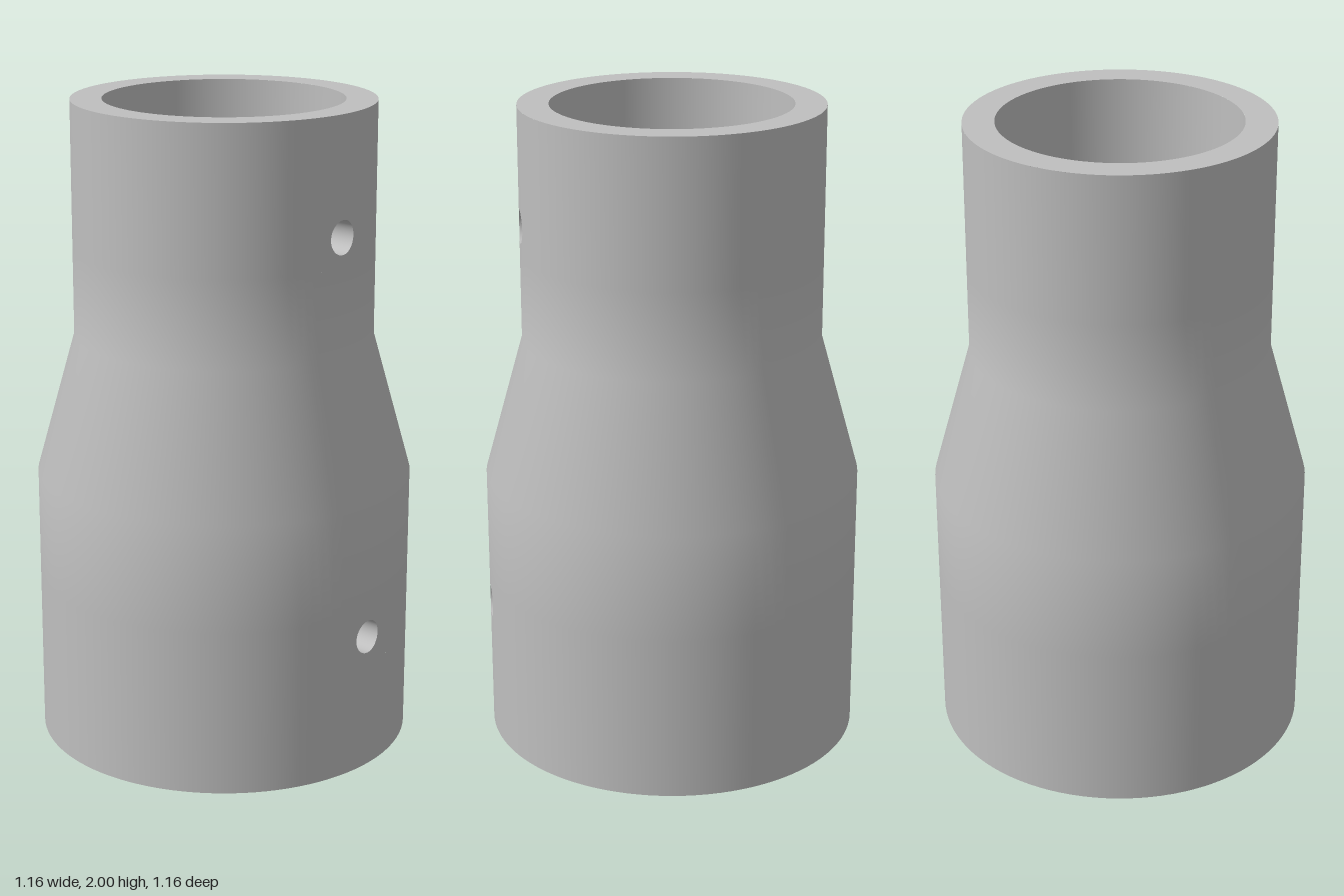
import * as THREE from 'three';

const HOLE_R = 0.052;      // radius of the drilled holes
const PATCH_A = 0.2;       // half angle of the wall strip that carries the holes
const PATCH_H = 0.09;      // half height of the wall patch around a hole
const HOLES = [
  { name: 'lowerHole', y: 0.425, outer: 0.58, inner: 0.488 },
  { name: 'upperHole', y: 1.64, outer: 0.46, inner: 0.365 },
];
const [LOW, HIGH] = HOLES;
const NECK = [0.85, 1.28]; // start and end of the taper

// Grid surface closed in u; fn returns [position, normal]
function loopGrid(fn, nu, nv, flip = false) {
  const pos = [], nor = [], idx = [];
  for (let i = 0; i <= nu; i++) {
    for (let j = 0; j <= nv; j++) {
      const [p, n] = fn((i / nu) * Math.PI * 2, j / nv);
      pos.push(...p);
      nor.push(...n);
      if (i === nu || j === nv) continue;
      const a = i * (nv + 1) + j, b = a + 1, c = a + nv + 1, d = c + 1;
      if (flip) idx.push(a, c, b, b, c, d);
      else idx.push(a, b, c, b, d, c);
    }
  }
  const g = new THREE.BufferGeometry();
  g.setAttribute('position', new THREE.Float32BufferAttribute(pos, 3));
  g.setAttribute('normal', new THREE.Float32BufferAttribute(nor, 3));
  g.setIndex(idx);
  return g;
}

// Curved wall patch with a round hole drilled along x
function wallPatch(r, y, side) {
  return loopGrid((t, v) => {
    const c = Math.cos(t), s = Math.sin(t), m = Math.max(Math.abs(c), Math.abs(s));
    const a = THREE.MathUtils.lerp(Math.asin((HOLE_R * c) / r), (PATCH_A * c) / m, v);
    const h = THREE.MathUtils.lerp(HOLE_R * s, (PATCH_H * s) / m, v);
    return [
      [r * Math.cos(a), y + h, -r * Math.sin(a)],
      [side * Math.cos(a), 0, -side * Math.sin(a)],
    ];
  }, 48, 4, side < 0);
}

// Bore of a hole from the inner wall to the outer wall
function holeBore({ y, outer, inner }) {
  return loopGrid((t, v) => {
    const c = Math.cos(t), s = Math.sin(t), r = v ? outer : inner;
    const z = -HOLE_R * c;
    return [[Math.sqrt(r * r - z * z), y + HOLE_R * s, z], [0, -s, c]];
  }, 48, 1);
}

export function createModel() {
  const group = new THREE.Group();
  const grey = new THREE.MeshStandardMaterial({ color: 0xbfbfbf });
  grey.name = 'grey';

  const add = (name, geometry) => {
    const mesh = new THREE.Mesh(geometry, grey);
    mesh.name = name;
    group.add(mesh);
  };
  const lathe = (pts, segs, start, length) =>
    new THREE.LatheGeometry(pts.map(p => new THREE.Vector2(...p)), segs, start, length);

  // Wall profile, bottom to top, with points at the patch borders
  const profile = key => [
    [LOW[key], 0], [LOW[key], LOW.y - PATCH_H], [LOW[key], LOW.y + PATCH_H],
    [LOW[key], NECK[0]], [HIGH[key], NECK[1]],
    [HIGH[key], HIGH.y - PATCH_H], [HIGH[key], HIGH.y + PATCH_H], [HIGH[key], 2],
  ];

  // Inner and outer walls: a wide arc plus the strip between the holes
  const stripStart = Math.PI / 2 - PATCH_A;
  for (const [key, side] of [['outer', 1], ['inner', -1]]) {
    const pts = profile(key);
    const wall = (p, segs, start, length) =>
      lathe(side > 0 ? p : [...p].reverse(), segs, start, length);
    add(key + 'Wall', wall(pts, 96, Math.PI / 2 + PATCH_A, Math.PI * 2 - PATCH_A * 2));
    for (const [from, to] of [[0, 2], [2, 6], [6, 8]]) {
      add(key + 'WallStrip', wall(pts.slice(from, to), 12, stripStart, PATCH_A * 2));
    }
    for (const hole of HOLES) add(key + 'WallAtHole', wallPatch(hole[key], hole.y, side));
  }

  // Flat rims at both ends
  add('bottomRim', lathe([[LOW.inner, 0], [LOW.outer, 0]], 96));
  add('topRim', lathe([[HIGH.outer, 2], [HIGH.inner, 2]], 96));

  // Drilled holes
  for (const hole of HOLES) add(hole.name, holeBore(hole));

  return group;
}
